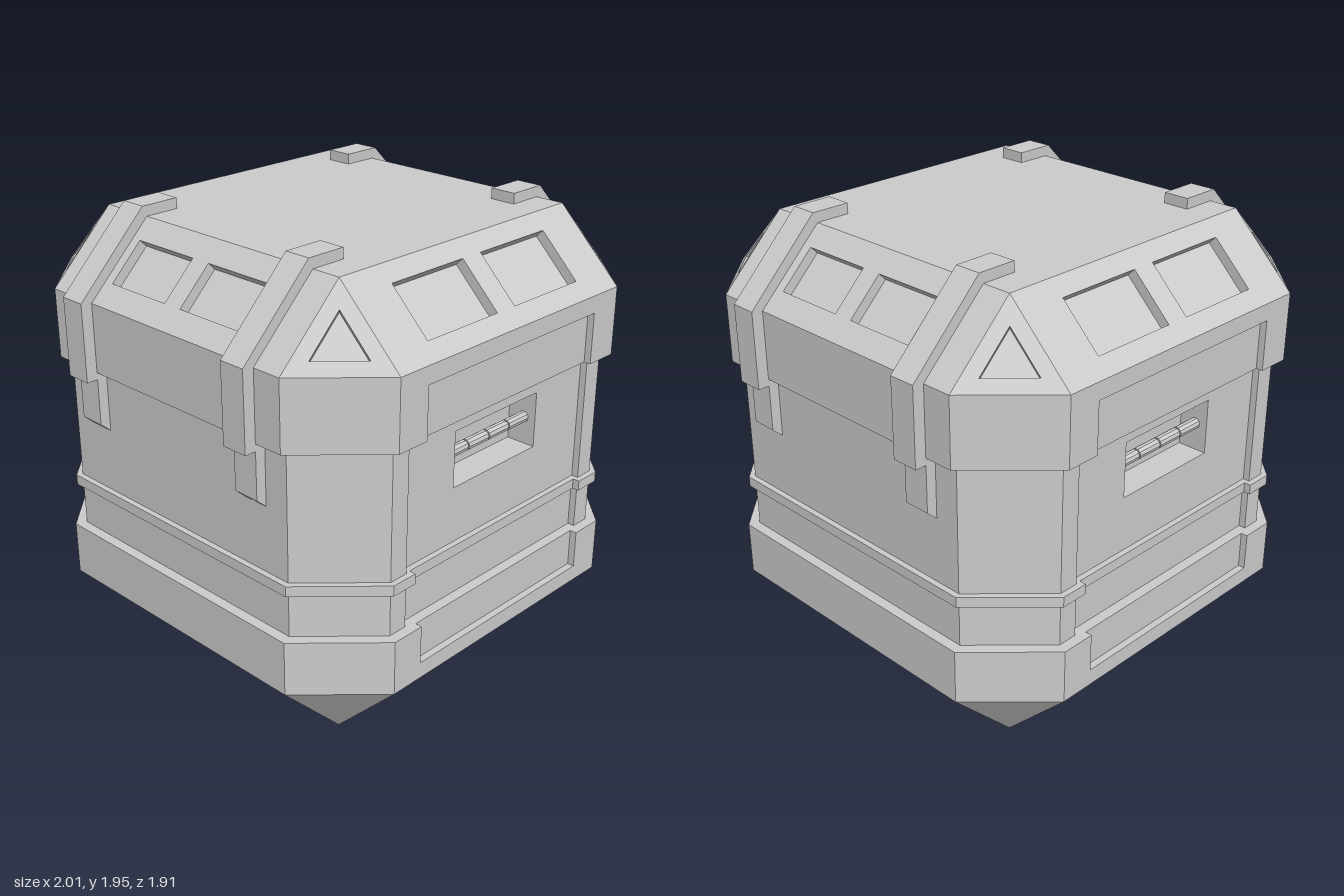
import * as THREE from 'three';
import { ConvexGeometry } from 'three/addons/geometries/ConvexGeometry.js';

const R = 0.95, C = 0.655;            // half width of the crate, half width of its flat faces
const LOW = 0.3, HIGH = 1.615, TOP = 1.905;
const material = new THREE.MeshStandardMaterial({ color: 0xcccccc, flatShading: true });

function add(parent, name, geometry) {
  const mesh = new THREE.Mesh(geometry, material);
  mesh.name = name;
  parent.add(mesh);
  return mesh;
}

const poly = (pts) => new THREE.Shape(pts.map(([x, y]) => new THREE.Vector2(x, y)));
const rect = (cx, cy, w, h) => poly([
  [cx - w / 2, cy - h / 2], [cx + w / 2, cy - h / 2], [cx + w / 2, cy + h / 2], [cx - w / 2, cy + h / 2]]);
const extrude = (shape, depth) => new THREE.ExtrudeGeometry(shape, { depth, bevelEnabled: false });

// Octagonal slab, inset all round, with an optional wide notch in front and back
function slab(y0, y1, inset, notch) {
  const r = R - inset, c = C - 0.414 * inset, w = 0.505 + inset;
  const q = [[c, r], [r, c]];
  if (notch) q.unshift([w, r - notch], [w, r]);
  const flip = (sx, sy) => q.map(([x, y]) => [x * sx, y * sy]);
  const shape = poly([...q, ...flip(1, -1).reverse(), ...flip(-1, -1), ...flip(-1, 1).reverse()]);
  return extrude(shape, y1 - y0).rotateX(-Math.PI / 2).translate(0, y0, 0);
}

// Solid tapering from the octagon at yWide to the square at yNarrow
function taper(yWide, yNarrow) {
  const pts = [];
  for (const sx of [-1, 1]) for (const sz of [-1, 1]) {
    pts.push(new THREE.Vector3(sx * R, yWide, sz * C), new THREE.Vector3(sx * C, yWide, sz * R),
      new THREE.Vector3(sx * C, yNarrow, sz * C));
  }
  return new ConvexGeometry(pts);
}

// Plate leaning back from its lower edge at a given distance and heading
function slopedPlate(parent, name, shape, heading, dist, run) {
  const mesh = add(parent, name, extrude(shape, 0.06).translate(0, 0, -0.06));
  mesh.rotation.set(-Math.atan2(run, TOP - HIGH), heading, 0, 'YXZ');
  mesh.position.set(Math.sin(heading) * dist, HIGH, Math.cos(heading) * dist);
}

export function createModel() {
  const model = new THREE.Group();
  model.name = 'crate';
  const crate = new THREE.Group();
  crate.name = 'crateBody';
  crate.rotation.y = -0.006;
  model.add(crate);

  // Base, bands and recessed middle
  add(crate, 'base', taper(LOW, 0));
  add(crate, 'lowerBandEdge', slab(LOW, 0.37, 0, 0));
  add(crate, 'lowerBand', slab(0.37, 0.535, 0, 0.03));
  add(crate, 'middleBody', slab(0.535, 1.32, 0.045, 0.16));
  add(crate, 'thinRing', slab(0.725, 0.77, 0.02, 0.03));
  add(crate, 'upperBand', slab(1.32, 1.54, 0, 0.03));
  add(crate, 'upperBandEdge', slab(1.54, HIGH, 0, 0));

  // Lid: window floors, flat top, sloped plates with openings
  add(crate, 'lidWindowFloor', taper(HIGH - 0.06, TOP - 0.06));
  add(crate, 'lidTop', new THREE.BoxGeometry(2 * C, 0.06, 2 * C).translate(0, TOP - 0.03, 0));
  const run = R - C, slope = Math.hypot(run, TOP - HIGH);
  const cornerRun = run / Math.SQRT2, cornerHeight = Math.hypot(cornerRun, TOP - HIGH);
  const triangle = (k) => poly([[-cornerRun, 0], [cornerRun, 0], [0, cornerHeight]]
    .map(([x, y]) => [x * k, cornerHeight / 3 + (y - cornerHeight / 3) * k]));
  for (let i = 0; i < 4; i++) {
    const heading = i * Math.PI / 2;
    const [cx, w, h] = i % 2 ? [0.205, 0.32, 0.205] : [0.25, 0.395, 0.245];
    const side = rect(0, slope / 2, 2 * C, slope);
    side.holes.push(rect(-cx, slope / 2, w, h), rect(cx, slope / 2, w, h));
    slopedPlate(crate, 'lidSlope', side, heading, R, run);

    const corner = triangle(1);
    corner.holes.push(triangle(0.51));
    slopedPlate(crate, 'lidCorner', corner, heading + Math.PI / 4, (R + C) / Math.SQRT2, cornerRun);
  }

  // Front and back: panel with a handle pocket and a segmented grip
  const panel = rect(0, 0.9275, 1.1, 0.785);
  panel.holes.push(rect(0, 1.13, 0.505, 0.24));
  const panelGeometry = extrude(panel, 0.13).translate(0, 0, 0.745);
  const grip = new THREE.CylinderGeometry(0.024, 0.024, 0.12, 10).rotateZ(Math.PI / 2);
  const rod = new THREE.CylinderGeometry(0.018, 0.018, 0.51, 10).rotateZ(Math.PI / 2);

  // Strap side profile: over the lid, down the side, stepping in to a tapered end
  const strapGeometry = extrude(poly([
    [0.5, 1.88], [0.5, 1.95], [0.675, 1.95], [1, 1.625], [1, 1.29], [0.95, 1.29], [0.95, 1.09],
    [0.905, 1.05], [0.85, 1.05], [0.85, 1.58], [0.62, 1.88]]), 0.117).translate(0, 0, -0.0585);

  for (const turn of [0, Math.PI]) {
    const half = new THREE.Group();
    half.name = turn ? 'backRightFittings' : 'frontLeftFittings';
    half.rotation.y = turn;
    crate.add(half);
    add(half, 'handlePanel', panelGeometry);
    add(half, 'handleRod', rod).position.set(0, 1.13, 0.82);
    for (let i = 0; i < 4; i++) add(half, 'handleGrip', grip).position.set((i - 1.5) * 0.126, 1.13, 0.82);
    for (const z of [-0.467, 0.467]) add(half, 'strap', strapGeometry).position.z = z;
  }
  return model;
}
